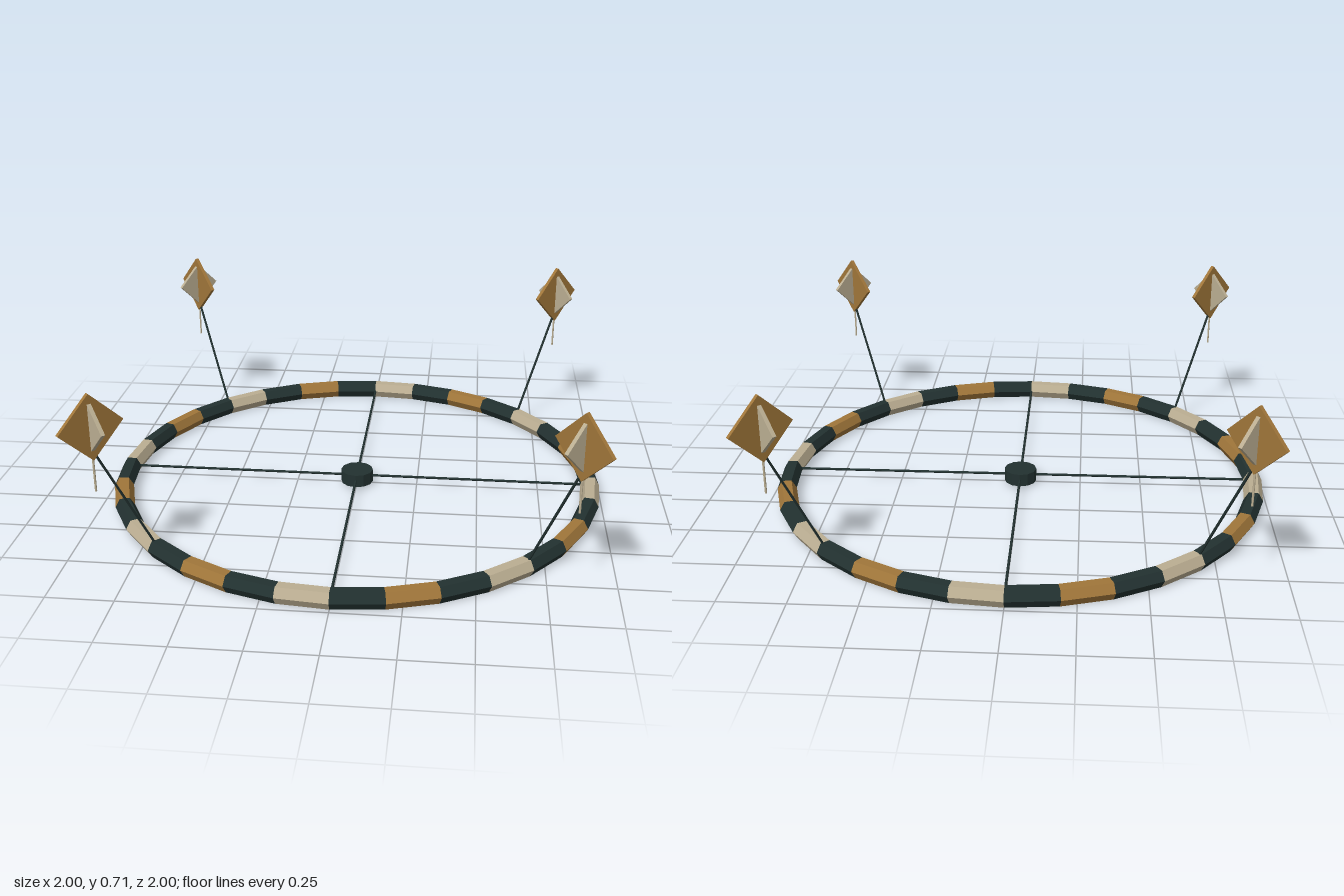
import * as THREE from 'three';
import { mergeGeometries } from 'three/addons/utils/BufferGeometryUtils.js';

const RING_R = 0.9615, TUBE_R = 0.0385, RING_Y = 0.0335;

function material(name, color) {
  const m = new THREE.MeshStandardMaterial({ color, flatShading: true });
  m.name = name;
  return m;
}

function part(name, geometry, mat) {
  const mesh = new THREE.Mesh(geometry, mat);
  mesh.name = name;
  return mesh;
}

// Thin round bar between two points
function bar(name, a, b, radius, mat) {
  const dir = new THREE.Vector3().subVectors(b, a);
  const mesh = part(name, new THREE.CylinderGeometry(radius, radius, dir.length(), 6), mat);
  mesh.position.addVectors(a, b).multiplyScalar(0.5);
  mesh.quaternion.setFromUnitVectors(new THREE.Vector3(0, 1, 0), dir.normalize());
  return mesh;
}

// Square plate standing on one corner
function diamond(name, side, thickness, mat) {
  const geo = new THREE.BoxGeometry(side, side, thickness);
  geo.rotateZ(Math.PI / 4);
  return part(name, geo, mat);
}

export function createModel() {
  const dark = material('dark green', 0x223130);
  const gold = material('bronze', 0xa0763a);
  const cream = material('cream', 0xbbae92);
  const model = new THREE.Group();
  model.name = 'ringWithMarkers';

  // Ring: 32 straight hexagonal segments in a repeating colour pattern
  const step = Math.PI / 16;
  const segments = { cream: [], dark: [], gold: [] };
  for (let i = 0; i < 32; i++) {
    const geo = new THREE.TorusGeometry(RING_R, TUBE_R, 6, 1, step);
    geo.rotateX(Math.PI / 2);
    geo.rotateY(-i * step);
    geo.translate(0, RING_Y, 0);
    segments[['cream', 'dark', 'gold', 'dark'][i % 4]].push(geo);
  }
  const ring = new THREE.Group();
  ring.name = 'ring';
  ring.add(
    part('creamSegments', mergeGeometries(segments.cream), cream),
    part('darkSegments', mergeGeometries(segments.dark), dark),
    part('bronzeSegments', mergeGeometries(segments.gold), gold)
  );
  model.add(ring);

  // Hub
  const hub = part('hub', new THREE.CylinderGeometry(0.066, 0.066, 0.052, 12), dark);
  hub.position.y = RING_Y;
  model.add(hub);

  // Spokes and diagonal markers, one of each per quarter
  for (let q = 0; q < 4; q++) {
    const quarter = new THREE.Group();
    quarter.name = 'quarter' + (q + 1);
    quarter.rotation.y = q * Math.PI / 2;
    quarter.add(bar('spoke', new THREE.Vector3(0, RING_Y, 0),
      new THREE.Vector3(RING_R, RING_Y, 0), 0.005, dark));
    quarter.add(bar('stalk', new THREE.Vector3(0.68, 0.045, 0.68),
      new THREE.Vector3(0.835, 0.5, 0.835), 0.005, dark));

    // Crossed diamond plates with a thin pin hanging below
    const marker = new THREE.Group();
    marker.name = 'marker';
    marker.position.set(0.835, 0.585, 0.835);
    marker.rotation.y = -Math.PI / 4;
    const crossPlate = diamond('crossPlate', 0.134, 0.015, cream);
    crossPlate.rotation.y = Math.PI / 2;
    marker.add(
      diamond('radialPlate', 0.176, 0.015, gold),
      crossPlate,
      bar('pin', new THREE.Vector3(0, -0.245, 0), new THREE.Vector3(0, 0, 0), 0.004, cream)
    );
    quarter.add(marker);
    model.add(quarter);
  }
  return model;
}
